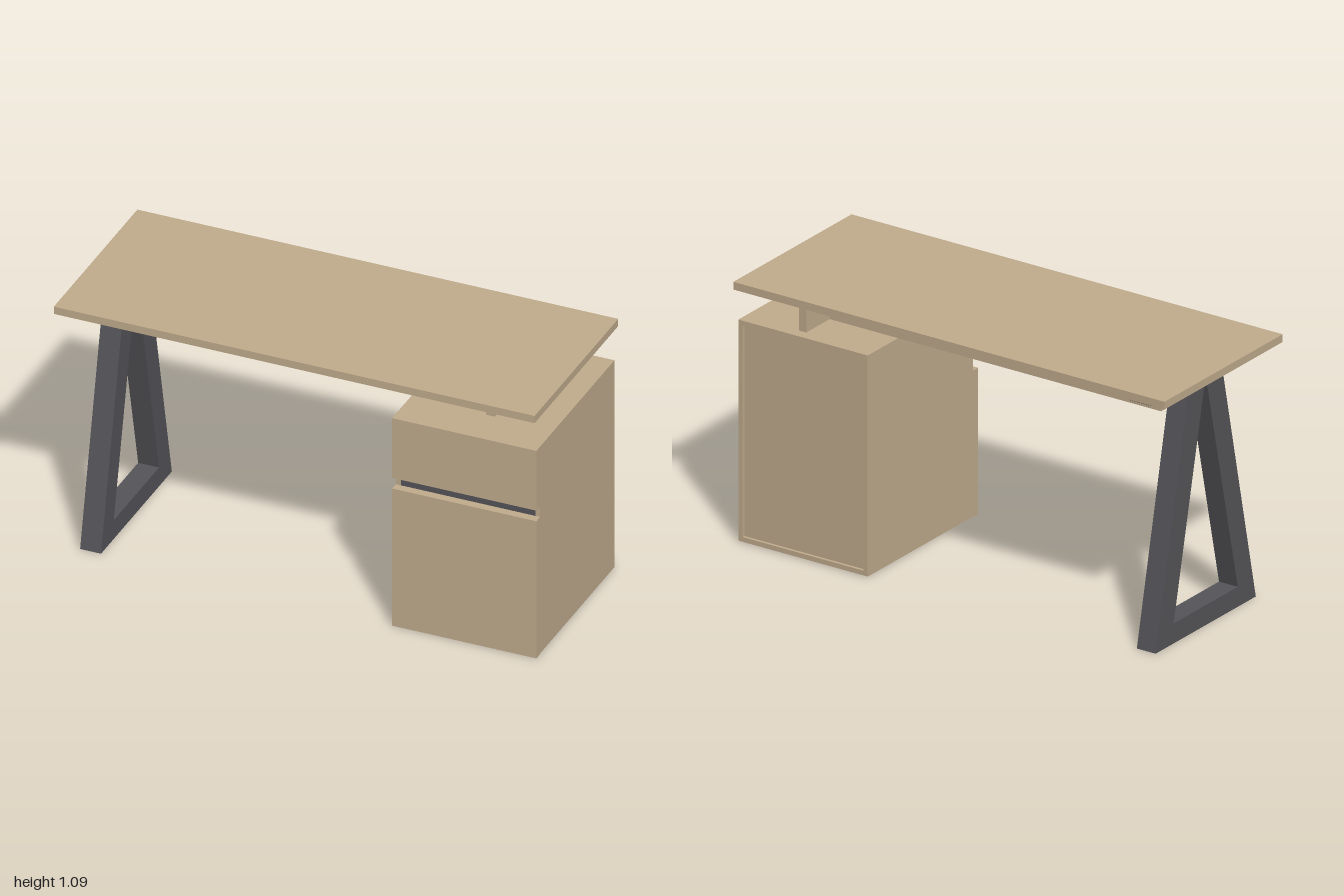
import * as THREE from 'three';

const wood = new THREE.MeshStandardMaterial({ color: 0xc2ad8e });
wood.name = 'lightWood';
const metal = new THREE.MeshStandardMaterial({ color: 0x55555a });
metal.name = 'darkMetal';

// Box given by its minimum and maximum on each axis
function box(parent, name, material, [x0, x1], [y0, y1], [z0, z1]) {
  const mesh = new THREE.Mesh(new THREE.BoxGeometry(x1 - x0, y1 - y0, z1 - z0), material);
  mesh.position.set((x0 + x1) / 2, (y0 + y1) / 2, (z0 + z1) / 2);
  mesh.name = name;
  parent.add(mesh);
  return mesh;
}

// Drawer unit: carcass with recessed back, two fronts and a grip gap
function makeCabinet() {
  const g = new THREE.Group();
  g.name = 'cabinet';
  const L = 0.398, R = 0.998, t = 0.02, back = -0.362, front = 0.337;
  box(g, 'cabinetTop', wood, [L, R], [0.899, 0.92], [back, front]);
  box(g, 'cabinetSideRight', wood, [L, L + t], [0.003, 0.899], [back, front]);
  box(g, 'cabinetSideLeft', wood, [R - t, R], [0.003, 0.899], [back, front]);
  box(g, 'cabinetBottom', wood, [L + t, R - t], [0.003, 0.023], [back, front]);
  box(g, 'cabinetBack', wood, [L + t, R - t], [0.023, 0.899], [back + 0.012, back + 0.024]);
  box(g, 'lowerFront', wood, [L, R], [0, 0.608], [front, 0.372]);
  box(g, 'upperFront', wood, [L, R], [0.655, 0.92], [front, 0.372]);
  box(g, 'gripStrip', metal, [L + t, R - t], [0.59, 0.67], [front - 0.012, front - 0.001]);
  return g;
}

// Tapered frame leg, outlined in the z-y plane and extruded along x
function makeLeg() {
  const g = new THREE.Group();
  g.name = 'leg';
  const shape = new THREE.Shape([[-0.333, 0], [0.333, 0], [0.107, 1.043], [-0.107, 1.043]]
    .map(p => new THREE.Vector2(...p)));
  shape.holes.push(new THREE.Path([[-0.213, 0.083], [0, 1.035], [0.213, 0.083]]
    .map(p => new THREE.Vector2(...p))));
  const geo = new THREE.ExtrudeGeometry(shape, { depth: 0.087, bevelEnabled: false });
  geo.rotateY(Math.PI / 2);
  const frame = new THREE.Mesh(geo, metal);
  frame.name = 'legFrame';
  frame.position.x = -0.917;
  g.add(frame);
  box(g, 'legPlate', metal, [-0.922, -0.822], [1.043, 1.055], [-0.373, 0.374]);
  return g;
}

// Beam under the top, its cross panel on the cabinet and the bolts
function makeBeam() {
  const g = new THREE.Group();
  g.name = 'beamAssembly';
  const front = -0.06;
  box(g, 'beam', wood, [-0.822, 0.715], [0.92, 1.055], [-0.16, front]);
  box(g, 'crossPanel', wood, [0.715, 0.75], [0.92, 1.055], [-0.316, 0.204]);
  for (const y of [0.955, 1.018]) {
    const bolt = new THREE.Mesh(new THREE.CylinderGeometry(0.014, 0.014, 0.004, 24), wood);
    bolt.rotation.x = Math.PI / 2;
    bolt.position.set(0.682, y, front + 0.002);
    bolt.name = 'bolt';
    g.add(bolt);
  }
  return g;
}

export function createModel() {
  const desk = new THREE.Group();
  desk.name = 'desk';
  box(desk, 'deskTop', wood, [-1, 1], [1.055, 1.087], [-0.393, 0.393]);
  desk.add(makeBeam(), makeCabinet(), makeLeg());
  return desk;
}
